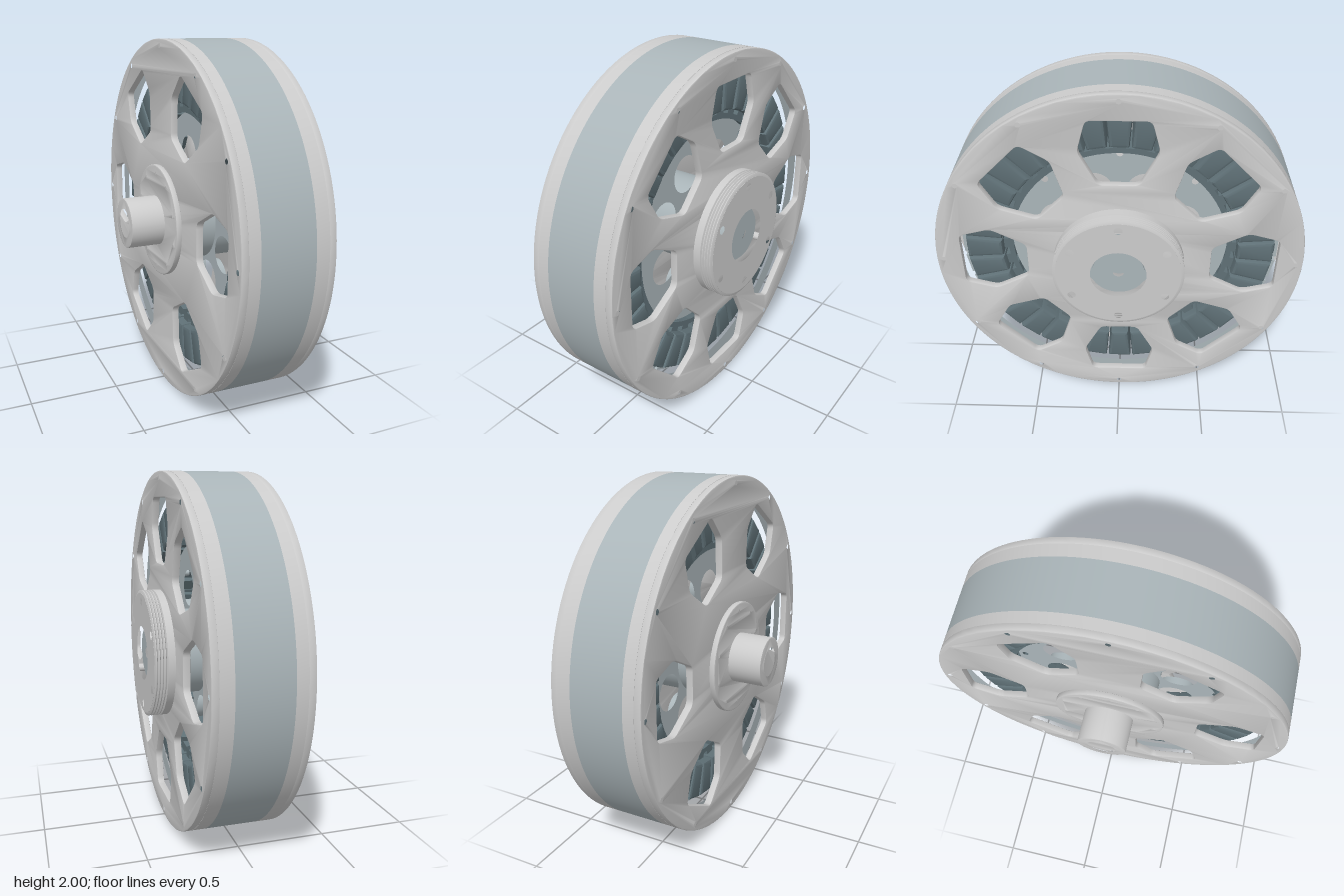
import * as THREE from 'three';
import { toCreasedNormals } from 'three/addons/utils/BufferGeometryUtils.js';

const TAU = Math.PI * 2;
const grey = new THREE.MeshStandardMaterial({ color: 0xcccccc });
const steel = new THREE.MeshStandardMaterial({ color: 0xaab5b9 });
const copper = new THREE.MeshStandardMaterial({ color: 0x5f7076 });

// Points of a circle; angles run clockwise from the top (+y)
function circle(r, n = 16, cx = 0, cy = 0) {
  return Array.from({ length: n }, (_, i) => new THREE.Vector2(
    cx + r * Math.sin(i / n * TAU), cy + r * Math.cos(i / n * TAU)));
}

// n small round holes on a pitch circle
function holeRing(n, pitch, r, offset = 0, sides = 16) {
  return Array.from({ length: n }, (_, i) => {
    const a = offset + i / n * TAU;
    return new THREE.Path(circle(r, sides, pitch * Math.sin(a), pitch * Math.cos(a)));
  });
}

// Six-sided window with rounded corners, turned by angle a
function windowPath(a) {
  const pts = [[-0.105, 0.5], [0.105, 0.5], [0.205, 0.69], [0.16, 0.86], [-0.16, 0.86], [-0.205, 0.69]]
    .map(([x, y]) => new THREE.Vector2(x, y).rotateAround(new THREE.Vector2(), -a));
  const path = new THREE.Path();
  pts.forEach((p, i) => {
    const prev = pts[(i + 5) % 6], next = pts[(i + 1) % 6];
    const s = p.clone().add(prev.clone().sub(p).setLength(0.03));
    const e = p.clone().add(next.clone().sub(p).setLength(0.03));
    if (i === 0) path.moveTo(s.x, s.y); else path.lineTo(s.x, s.y);
    path.quadraticCurveTo(p.x, p.y, e.x, e.y);
  });
  path.closePath();
  return path;
}

const windows = (n, offset = 0) =>
  Array.from({ length: n }, (_, i) => windowPath(offset + i / n * TAU));

// Flat plate between z0 and z1 with holes and a small edge bevel
function plate(name, outline, holes, z0, z1, material = grey, bevel = 0) {
  const shape = new THREE.Shape(outline);
  shape.holes = holes;
  const geo = new THREE.ExtrudeGeometry(shape, {
    depth: z1 - z0 - 2 * bevel, curveSegments: 5,
    bevelEnabled: bevel > 0, bevelSize: bevel, bevelThickness: bevel,
    bevelOffset: -bevel, bevelSegments: 2,
  });
  geo.translate(0, 0, z0 + bevel);
  const mesh = new THREE.Mesh(toCreasedNormals(geo, 0.5), material);
  mesh.name = name;
  return mesh;
}

const ring = (name, inner, outer, z0, z1, material, sides = 64, bevel = 0) =>
  plate(name, circle(outer, sides), [new THREE.Path(circle(inner, sides))], z0, z1, material, bevel);

function lathe(name, profile, material) {
  const geo = new THREE.LatheGeometry(profile.map(([r, z]) => new THREE.Vector2(r, z)), 96);
  geo.rotateX(Math.PI / 2);
  const mesh = new THREE.Mesh(toCreasedNormals(geo, 0.35), material);
  mesh.name = name;
  return mesh;
}

export function createModel() {
  const model = new THREE.Group();
  model.name = 'hubMotor';
  // Everything is built along z, then the axle is turned onto x
  const motor = new THREE.Group();
  motor.name = 'motor';
  motor.rotation.y = Math.PI / 2;
  motor.position.y = 1;
  model.add(motor);

  // Drum: two covers with rims and the magnet yoke between them
  const drum = new THREE.Group();
  drum.name = 'drum';
  motor.add(drum);
  const bolts = () => holeRing(12, 0.963, 0.019);
  drum.add(
    plate('outerCover', circle(1, 128),
      [...windows(8), ...bolts(), new THREE.Path(circle(0.2, 48))], 0.26, 0.3, grey, 0.005),
    ring('outerRim', 0.91, 1, 0.19, 0.262, grey, 128),
    ring('magnetYoke', 0.9, 1, -0.1, 0.19, steel, 128),
    ring('innerRim', 0.91, 1, -0.162, -0.1, grey, 128),
    plate('innerCover', circle(1, 128),
      [...windows(6, Math.PI / 6), ...bolts(), new THREE.Path(circle(0.13, 48))], -0.2, -0.16, grey, 0.005),
  );

  // Threaded hub on the outer cover
  const hub = new THREE.Group();
  hub.name = 'threadedHub';
  motor.add(hub);
  const thread = [[0.33, 0.3], [0.355, 0.3], [0.355, 0.34], [0.342, 0.345]];
  for (let i = 0; i < 4; i++) {
    const z = 0.345 + i * 0.016;
    thread.push([0.355, z + 0.006], [0.355, z + 0.01], [0.342, z + 0.016]);
  }
  thread.push([0.33, 0.41]);
  hub.add(
    lathe('hubThread', thread, grey),
    plate('hubFace', circle(0.338, 96),
      [...holeRing(6, 0.295, 0.023), new THREE.Path(circle(0.152, 48))], 0.3, 0.41),
    ring('hubSeat', 0.12, 0.155, 0.3, 0.37, steel),
    ring('axleEnd', 0.03, 0.14, 0.3, 0.385, steel),
    plate('axleEndFloor', circle(0.04, 24), [], 0.3, 0.345, steel),
  );

  // Axle side: bearing flange and hollow shaft
  const axle = new THREE.Group();
  axle.name = 'axle';
  motor.add(axle);
  axle.add(
    plate('bearingFlange', circle(0.315, 96),
      [...holeRing(10, 0.27, 0.016), new THREE.Path(circle(0.13, 48))], -0.232, -0.2, grey, 0.006),
    ring('shaft', 0.085, 0.14, -0.42, 0.3, grey, 64, 0.003),
    plate('shaftPlug', circle(0.09, 32), [], -0.12, -0.1),
  );

  // Stator: spoked carrier, rim, teeth and coils
  const stator = new THREE.Group();
  stator.name = 'stator';
  motor.add(stator);
  stator.add(
    ring('statorHub', 0.135, 0.24, -0.15, 0.25, steel),
    plate('statorCarrier', circle(0.61, 96),
      [...holeRing(8, 0.57, 0.019), ...holeRing(8, 0.37, 0.105, Math.PI / 8, 32),
        new THREE.Path(circle(0.2, 48))], 0.03, 0.1, steel),
    ring('statorRim', 0.6, 0.63, -0.05, 0.15, copper, 96),
  );

  const count = 36;
  const toothGeo = new THREE.BoxGeometry(0.065, 0.25, 0.2).translate(0, 0.745, 0.05);
  const shoeGeo = new THREE.BoxGeometry(0.125, 0.022, 0.2).translate(0, 0.875, 0.05);
  const half = r => r * Math.tan(Math.PI / count) - 0.006;
  const coilOutline = [[-half(0.655), 0.655], [half(0.655), 0.655], [half(0.858), 0.858], [-half(0.858), 0.858]]
    .map(([x, y]) => new THREE.Vector2(x, y));
  const coilGeo = plate('coil', coilOutline, [], -0.1, 0.2, copper, 0.018).geometry;
  for (let i = 0; i < count; i++) {
    const pole = new THREE.Group();
    pole.name = 'statorPole';
    pole.rotation.z = i / count * TAU;
    for (const [name, geo, mat] of [['tooth', toothGeo, copper], ['toothShoe', shoeGeo, steel], ['coil', coilGeo, copper]]) {
      const mesh = new THREE.Mesh(geo, mat);
      mesh.name = name;
      pole.add(mesh);
    }
    stator.add(pole);
  }
  return model;
}
